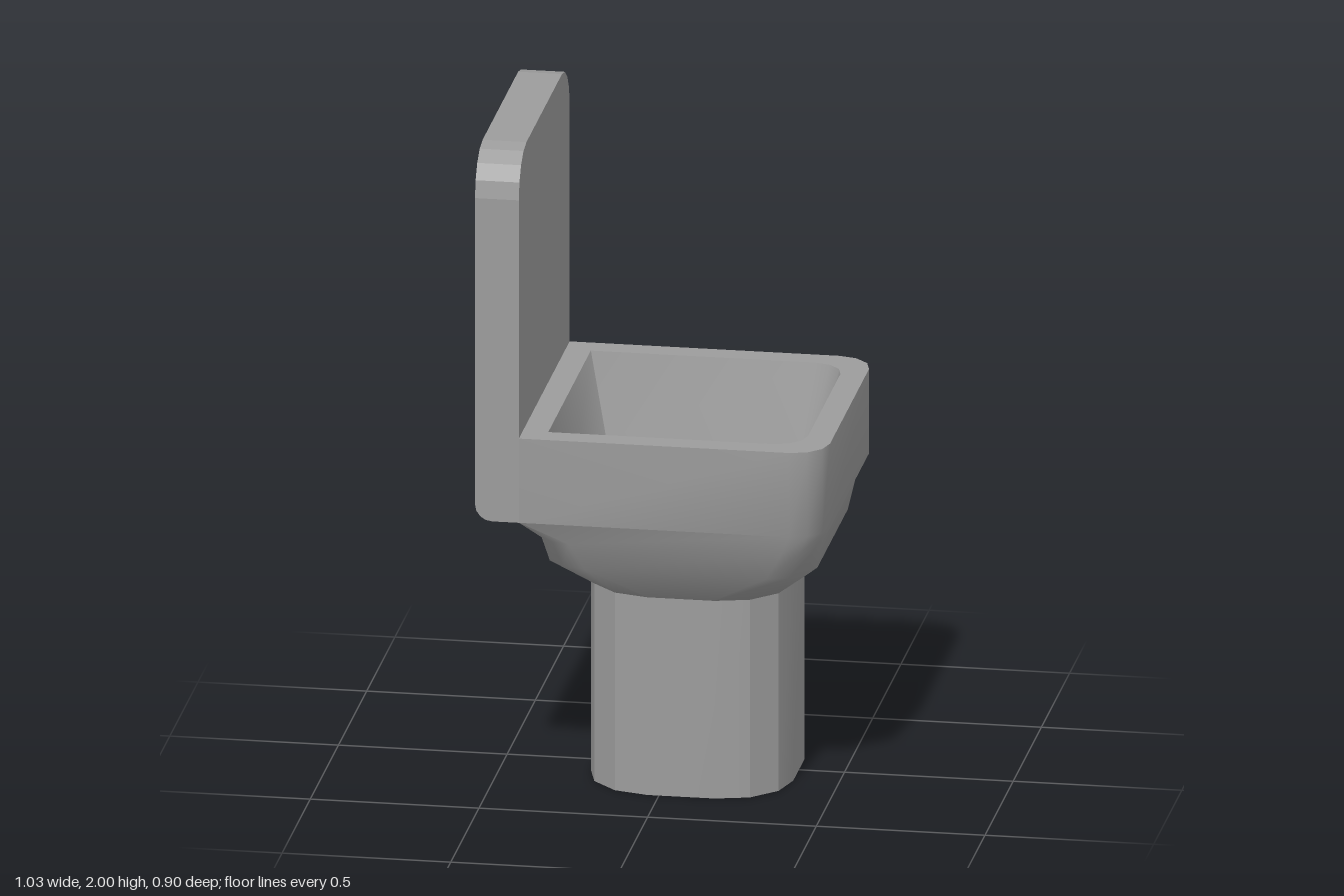
import * as THREE from 'three';
import { toCreasedNormals } from 'three/addons/utils/BufferGeometryUtils.js';

// Horizontal rounded rectangle, three segments per corner
function ring(y, x0, x1, hz, rBack, rFront) {
  const corners = [
    [x1 - rFront, hz - rFront, rFront, 0],
    [x0 + rBack, hz - rBack, rBack, 1],
    [x0 + rBack, rBack - hz, rBack, 2],
    [x1 - rFront, rFront - hz, rFront, 3],
  ];
  const pts = [];
  for (const [cx, cz, r, q] of corners) {
    for (let k = 0; k <= 3; k++) {
      const a = (q + k / 3) * Math.PI / 2;
      pts.push([cx + r * Math.cos(a), y, cz + r * Math.sin(a)]);
    }
  }
  return pts;
}

// Skin a stack of rings and close both ends
function loft(rings, crease) {
  const n = rings[0].length;
  const pos = rings.flat(2);
  const index = [];
  for (let i = 0; i < rings.length - 1; i++) {
    for (let j = 0; j < n; j++) {
      const a = i * n + j, b = i * n + (j + 1) % n;
      index.push(a, a + n, b, b, a + n, b + n);
    }
  }
  const last = (rings.length - 1) * n;
  for (let j = 1; j < n - 1; j++) {
    index.push(0, j, j + 1);
    index.push(last, last + j + 1, last + j);
  }
  const g = new THREE.BufferGeometry();
  g.setAttribute('position', new THREE.Float32BufferAttribute(pos, 3));
  g.setIndex(index);
  return toCreasedNormals(g, crease);
}

export function createModel() {
  const model = new THREE.Group();
  const grey = new THREE.MeshStandardMaterial({ color: 0x9c9c9c });
  grey.name = 'grey';

  const add = (name, geometry) => {
    const mesh = new THREE.Mesh(geometry, grey);
    mesh.name = name;
    model.add(mesh);
  };

  // Pedestal column
  add('pedestal', loft([
    ring(0, -0.235, 0.365, 0.3, 0.2, 0.2),
    ring(0.61, -0.235, 0.365, 0.3, 0.2, 0.2),
  ], 0.5));

  // Bowl: flared underside, straight wall, flat rim and sunken basin
  add('bowl', loft([
    ring(0.61, -0.235, 0.365, 0.3, 0.2, 0.2),
    ring(0.72, -0.335, 0.465, 0.4, 0.13, 0.13),
    ring(0.80, -0.35, 0.48, 0.415, 0.1, 0.1),
    ring(0.87, -0.39, 0.515, 0.45, 0.001, 0.105),
    ring(1.13, -0.39, 0.515, 0.45, 0.001, 0.105),
    ring(1.13, -0.315, 0.44, 0.377, 0.001, 0.09),
    ring(0.88, -0.26, 0.385, 0.322, 0.001, 0.065),
  ], 0.8));

  // Upright back panel with rounded top corners
  const r = 0.135, h = 0.45;
  const panel = new THREE.Shape();
  panel.moveTo(-h, 1.13);
  panel.lineTo(h, 1.13);
  panel.absarc(h - r, 2 - r, r, 0, Math.PI / 2);
  panel.absarc(r - h, 2 - r, r, Math.PI / 2, Math.PI);
  panel.closePath();
  add('backPanel', new THREE.ExtrudeGeometry(panel, { depth: 0.13, bevelEnabled: false, curveSegments: 2 })
    .rotateY(Math.PI / 2).translate(-0.52, 0, 0));

  // Foot of the back panel with a rounded rear edge
  const foot = new THREE.Shape();
  foot.moveTo(-0.39, 0.87);
  foot.lineTo(-0.39, 1.13);
  foot.lineTo(-0.52, 1.13);
  foot.absarc(-0.47, 0.92, 0.05, Math.PI, Math.PI * 1.5);
  foot.closePath();
  add('backPanelFoot', new THREE.ExtrudeGeometry(foot, { depth: 2 * h, bevelEnabled: false, curveSegments: 2 })
    .translate(0, 0, -h));

  return model;
}
